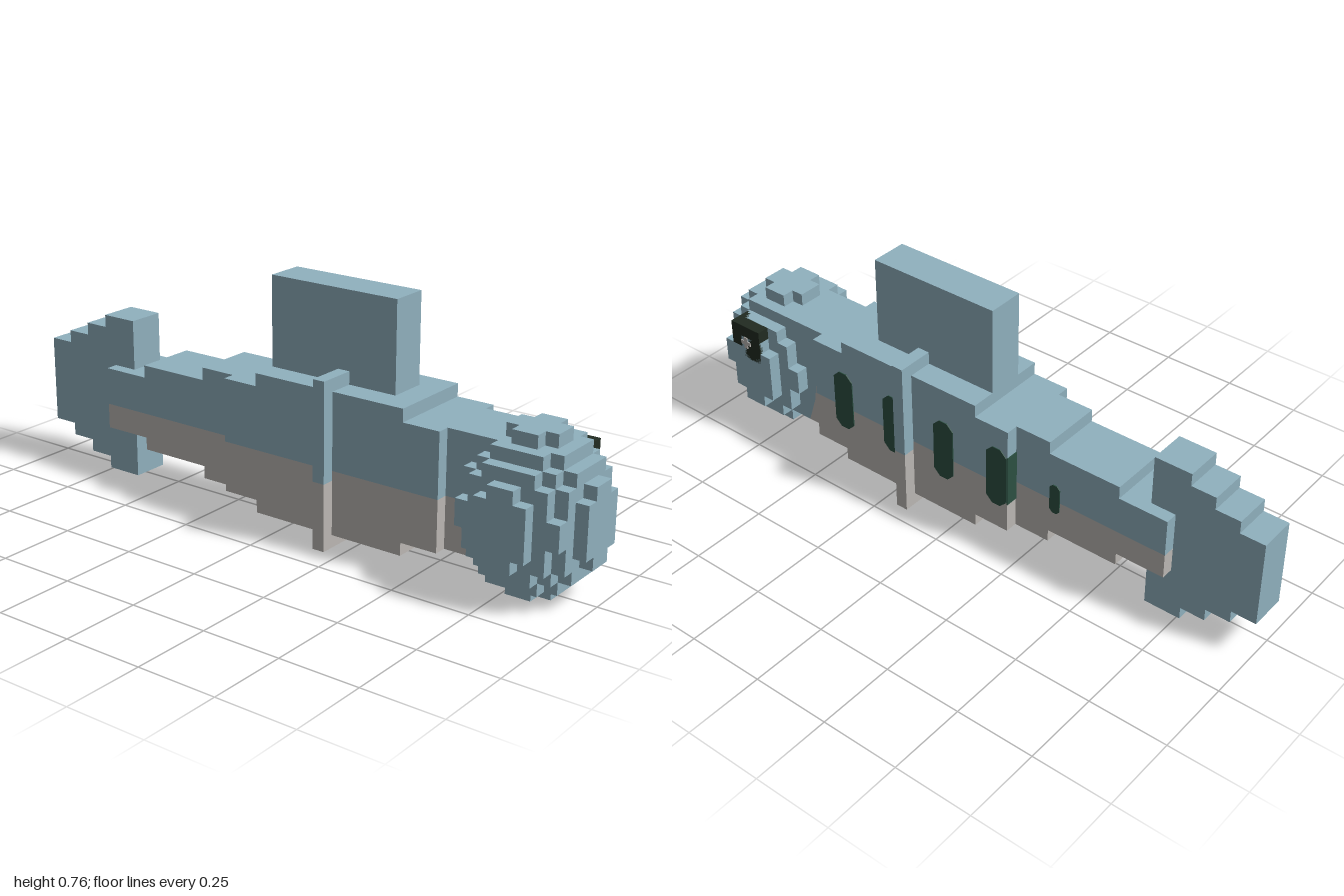
import * as THREE from 'three';
import { mergeGeometries } from 'three/addons/utils/BufferGeometryUtils.js';

const mat = (name, color) => {
  const m = new THREE.MeshStandardMaterial({ color });
  m.name = name;
  return m;
};

export function createModel() {
  const model = new THREE.Group();
  model.name = 'blockyFish';
  const blue = mat('paleBlue', 0x90b1be);
  const grey = mat('warmGrey', 0xbcb8b4);
  const dark = mat('nearBlack', 0x212b21);
  const green = mat('darkGreen', 0x2c5042);

  const add = (name, geometry, material, parent = model) => {
    const mesh = new THREE.Mesh(geometry, material);
    mesh.name = name;
    parent.add(mesh);
    return mesh;
  };
  // Box given by its extents
  const box = (name, x0, x1, y0, y1, z0, z1, material, parent) => {
    const g = new THREE.BoxGeometry(x1 - x0, y1 - y0, z1 - z0);
    g.translate((x0 + x1) / 2, (y0 + y1) / 2, (z0 + z1) / 2);
    return add(name, g, material, parent);
  };
  // Outline in x and y, extruded from z0 to z1
  const plate = (name, points, z0, z1, material, parent) => {
    const shape = new THREE.Shape(points.map(([x, y]) => new THREE.Vector2(x, y)));
    const g = new THREE.ExtrudeGeometry(shape, { depth: z1 - z0, bevelEnabled: false });
    g.translate(0, 0, z0);
    return add(name, g, material, parent);
  };
  // Box with a blue upper half and a grey lower half
  const twoTone = (name, x0, x1, y0, y1, z0, z1, line = 0.24) => {
    const part = new THREE.Group();
    part.name = name;
    model.add(part);
    box(name + 'Upper', x0, x1, line, y1, z0, z1, blue, part);
    box(name + 'Lower', x0, x1, y0, line, z0, z1, grey, part);
  };

  // Stepped body, from the tail forwards
  [
    [-0.72, -0.56, 0.16, 0.36, -0.12, 0.08],
    [-0.56, -0.32, 0.12, 0.40, -0.12, 0.08],
    [-0.32, -0.20, 0.08, 0.44, -0.12, 0.08],
    [-0.20, -0.08, 0.08, 0.44, -0.16, 0.12],
    [-0.08, 0.44, 0.04, 0.48, -0.16, 0.12],
    [0.44, 0.56, 0.08, 0.44, -0.16, 0.12],
  ].forEach((s, i) => twoTone('bodySegment' + (i + 1), ...s));

  // Neck, where the grey belly ends in a slanted edge
  const edge = [[0.64, 0.08], [0.61, 0.17], [0.60, 0.24]];
  plate('neckLower', [[0.56, 0.08], ...edge, [0.56, 0.24]], -0.12, 0.08, grey);
  plate('neckUpper', [...edge].reverse().concat([[0.72, 0.08], [0.72, 0.44], [0.56, 0.44], [0.56, 0.24]]).reverse(),
    -0.12, 0.08, blue);

  // Band around the body and the back fin
  twoTone('band', 0.16, 0.20, 0, 0.52, -0.20, 0.16, 0.21);
  box('backFin', -0.08, 0.36, 0.48, 0.76, -0.08, 0.04, blue);

  // Stepped tail fin
  const tail = [[-1, -0.92], [-0.92, -0.84], [-0.84, -0.76], [-0.76, -0.64]];
  tail.forEach(([x0, x1], i) =>
    box('tailFin' + (i + 1), x0, x1, 0.12 - i * 0.04, 0.40 + i * 0.04, -0.08, 0.04, blue));

  // Head: the outer faces of an ellipsoid of small cubes
  const C = 0.04;
  const filled = (x, y, z) => (x / 5) ** 2 + (y / 6) ** 2 + (z / 5) ** 2 <= 1;
  const dirs = [[1, 0, 0], [-1, 0, 0], [0, 1, 0], [0, -1, 0], [0, 0, 1], [0, 0, -1]];
  const zAxis = new THREE.Vector3(0, 0, 1);
  const faces = [];
  for (let x = -4.5; x < 5; x++) {
    for (let y = -5.5; y < 6; y++) {
      for (let z = -4.5; z < 5; z++) {
        if (!filled(x, y, z)) continue;
        for (const [a, b, c] of dirs) {
          if (filled(x + a, y + b, z + c)) continue;
          const q = new THREE.Quaternion().setFromUnitVectors(zAxis, new THREE.Vector3(a, b, c));
          const g = new THREE.PlaneGeometry(C, C).applyQuaternion(q);
          g.translate((x + a / 2) * C, (y + b / 2) * C, (z + c / 2) * C);
          faces.push(g);
        }
      }
    }
  }
  add('head', mergeGeometries(faces), blue).position.set(0.8, 0.24, 0);

  // Eye on the far side with a small cross
  const eye = new THREE.Group();
  eye.name = 'eye';
  model.add(eye);
  box('eyeBlock', 0.76, 0.88, 0.28, 0.40, -0.20, -0.12, dark, eye);
  box('eyeCrossBar', 0.80, 0.84, 0.333, 0.347, -0.203, -0.199, grey, eye);
  box('eyeCrossPost', 0.813, 0.827, 0.32, 0.36, -0.203, -0.199, grey, eye);

  // Upright windows with cut corners on the far side
  const window = (name, x, y, w, h, z) => {
    const c = w * 0.3, a = w / 2, b = h / 2;
    plate(name, [[-a, -b + c], [-a + c, -b], [a - c, -b], [a, -b + c], [a, b - c], [a - c, b], [-a + c, b], [-a, b - c]]
      .map(([u, v]) => [x + u, y + v]), z - 0.003, z + 0.001, green);
  };
  [0.44, 0.24, 0.04, -0.16].forEach((x, i) => window('window' + (i + 1), x, 0.265, 0.074, 0.205, -0.16));
  window('smallWindow', -0.342, 0.247, 0.036, 0.1, -0.12);
  box('windowReturn', -0.203, -0.199, 0.18, 0.35, -0.163, -0.12, green);

  return model;
}
